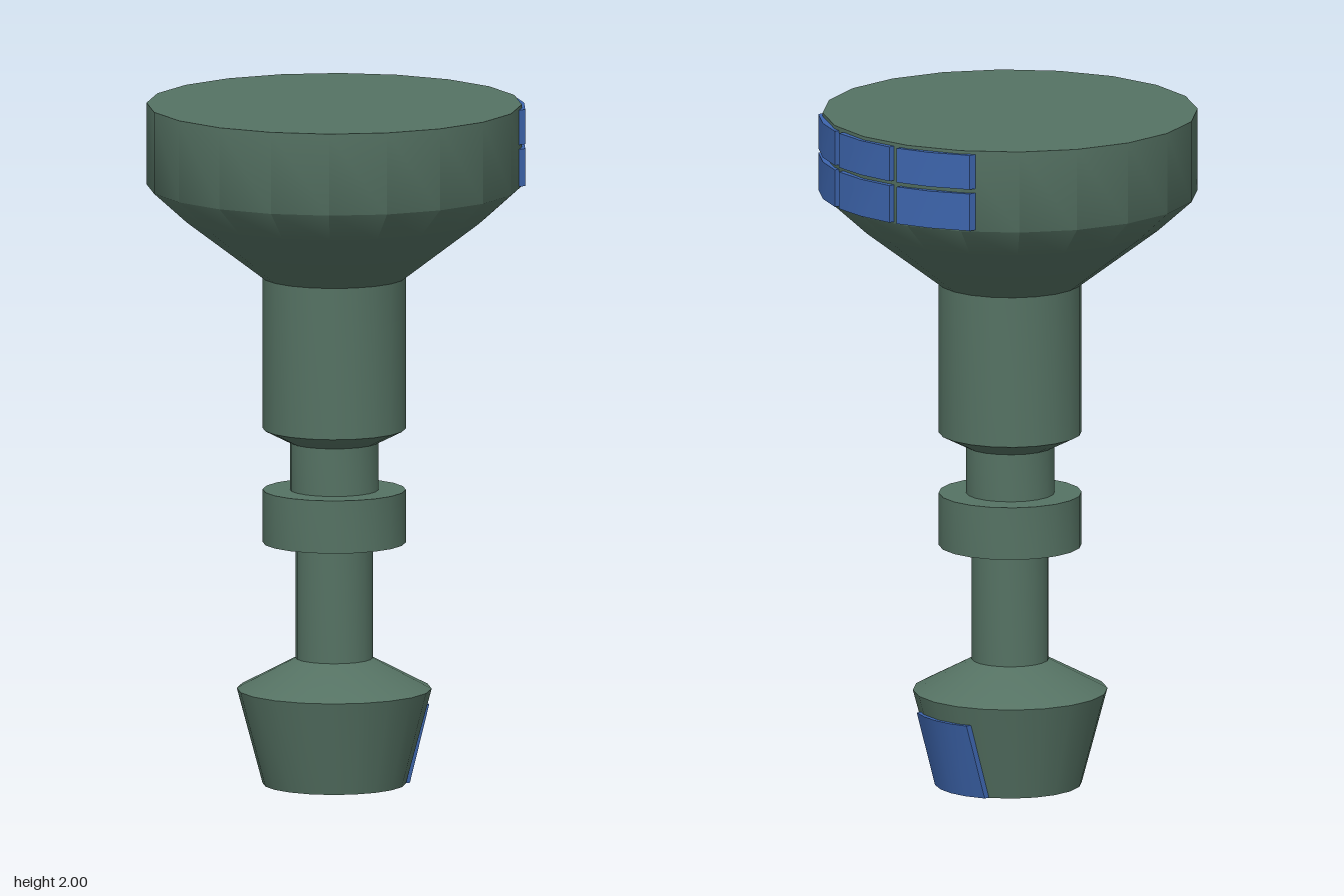
import * as THREE from 'three';
import { toCreasedNormals } from 'three/addons/utils/BufferGeometryUtils.js';

const OFFSET_X = -0.007; // body axis, shifted so the whole model is centred

// Thin panel wrapped on the +x side of a round body whose radius is radiusAt(y)
function wrappedPanel(name, z0, z1, y0, y1, segments, radiusAt, material) {
  const geometry = new THREE.BoxGeometry(1, 1, 1, 1, 1, segments);
  const p = geometry.attributes.position;
  for (let i = 0; i < p.count; i++) {
    const y = THREE.MathUtils.lerp(y0, y1, p.getY(i) + 0.5);
    const z = THREE.MathUtils.lerp(z0, z1, p.getZ(i) + 0.5);
    const r = radiusAt(y) + (p.getX(i) > 0 ? 0.012 : -0.015);
    p.setXYZ(i, Math.sqrt(r * r - z * z), y, z);
  }
  geometry.computeVertexNormals();
  const mesh = new THREE.Mesh(geometry, material);
  mesh.name = name;
  return mesh;
}

export function createModel() {
  const group = new THREE.Group();
  group.name = 'tower';
  const green = new THREE.MeshStandardMaterial({ color: 0x557263 });
  const blue = new THREE.MeshStandardMaterial({ color: 0x3d65ad });

  // Turned parts as [radius, height] profiles, bottom to top
  const parts = {
    base: [[0, 0], [0.208, 0], [0.283, 0.28], [0.112, 0.37], [0, 0.37]],
    lowerShaft: [[0.112, 0.37], [0.112, 0.71]],
    collar: [[0, 0.71], [0.208, 0.71], [0.208, 0.865], [0, 0.865]],
    neck: [[0.129, 0.865], [0.129, 1.005]],
    upperShaft: [[0, 1.005], [0.129, 1.005], [0.208, 1.045], [0.208, 1.49]],
    head: [[0.208, 1.49], [0.445, 1.67], [0.545, 1.76], [0.545, 2], [0, 2]],
  };
  for (const [name, profile] of Object.entries(parts)) {
    const points = profile.map(([r, y]) => new THREE.Vector2(r, y));
    const geometry = toCreasedNormals(new THREE.LatheGeometry(points, 20), 0.87);
    const mesh = new THREE.Mesh(geometry, green);
    mesh.name = name;
    group.add(mesh);
  }

  // Two rows of three windows round the head
  const windows = new THREE.Group();
  windows.name = 'windows';
  for (const [y0, y1] of [[1.765, 1.875], [1.888, 1.99]]) {
    for (const [z0, z1] of [[-0.35, -0.143], [-0.117, 0.117], [0.143, 0.35]]) {
      windows.add(wrappedPanel('window', z0, z1, y0, y1, 2, () => 0.545, blue));
    }
  }
  group.add(windows);

  // Door following the flare of the base
  const flare = (y) => 0.208 + (0.075 * y) / 0.28;
  group.add(wrappedPanel('door', -0.115, 0.115, 0, 0.225, 4, flare, blue));

  for (const child of group.children) child.position.x = OFFSET_X;
  return group;
}
